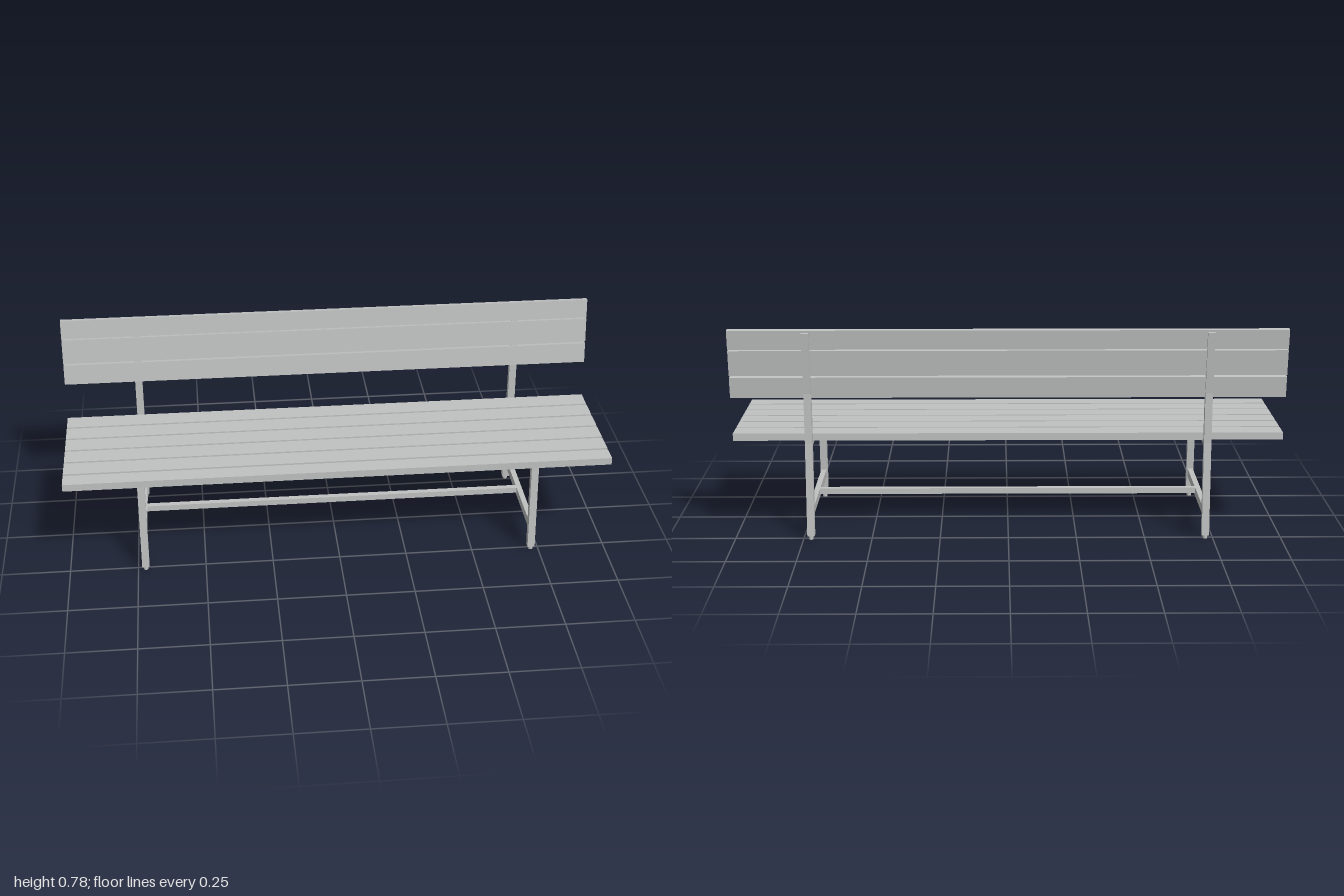
import * as THREE from 'three';

export function createModel() {
  const bench = new THREE.Group();
  bench.name = 'bench';
  const grey = new THREE.MeshStandardMaterial({ color: 0xc0c2c1 });
  grey.name = 'light grey';

  const add = (name, geometry, x, y, z) => {
    const mesh = new THREE.Mesh(geometry, grey);
    mesh.name = name;
    mesh.position.set(x, y, z);
    bench.add(mesh);
    return mesh;
  };
  const box = (name, w, h, d, x, y, z) => add(name, new THREE.BoxGeometry(w, h, d), x, y, z);

  // Side profile given as [z, y] points, extruded across x
  const profile = (name, points, width, x) => {
    const shape = new THREE.Shape(points.map(([z, y]) => new THREE.Vector2(z, y)));
    const geometry = new THREE.ExtrudeGeometry(shape, { depth: width, bevelEnabled: false });
    geometry.translate(0, 0, -width / 2).rotateY(-Math.PI / 2);
    return add(name, geometry, x, 0, 0);
  };

  // Seat slats: a narrower front one and five equal ones behind it
  box('seatSlatFront', 2, 0.027, 0.064, 0, 0.3765, 0.248);
  for (let i = 0; i < 5; i++) {
    box('seatSlat', 2, 0.027, 0.077, 0, 0.3765, 0.167 - i * 0.0866);
  }

  // Backrest slats: [height, y, z], leaning back
  for (const [h, y, z] of [[0.077, 0.5685, -0.2355], [0.094, 0.66, -0.245], [0.071, 0.747, -0.2548]]) {
    box('backSlat', 2, h, 0.02, 0, y, z).rotation.x = -0.109;
  }

  // Two side frames
  for (const side of [-1, 1]) {
    const x = side * 0.722;
    profile('frontLeg', [[0.272, 0.014], [0.247, 0.014], [0.229, 0.363], [0.255, 0.363]], 0.027, x);
    profile('backLeg', [
      [-0.246, 0.014], [-0.271, 0.014], [-0.253, 0.36], [-0.253, 0.546],
      [-0.278, 0.772], [-0.254, 0.775], [-0.229, 0.548], [-0.229, 0.36],
    ], 0.027, x);
    box('seatRail', 0.02, 0.021, 0.47, x, 0.3525, 0);
    box('lowerRail', 0.02, 0.031, 0.494, x, 0.1005, 0);
    for (const z of [0.2595, -0.2595]) {
      add('foot', new THREE.CylinderGeometry(0.0085, 0.0085, 0.016, 16), x, 0.008, z);
    }
  }

  // Long stretcher joining the side frames
  box('stretcher', 1.43, 0.022, 0.022, 0, 0.105, 0);

  return bench;
}
